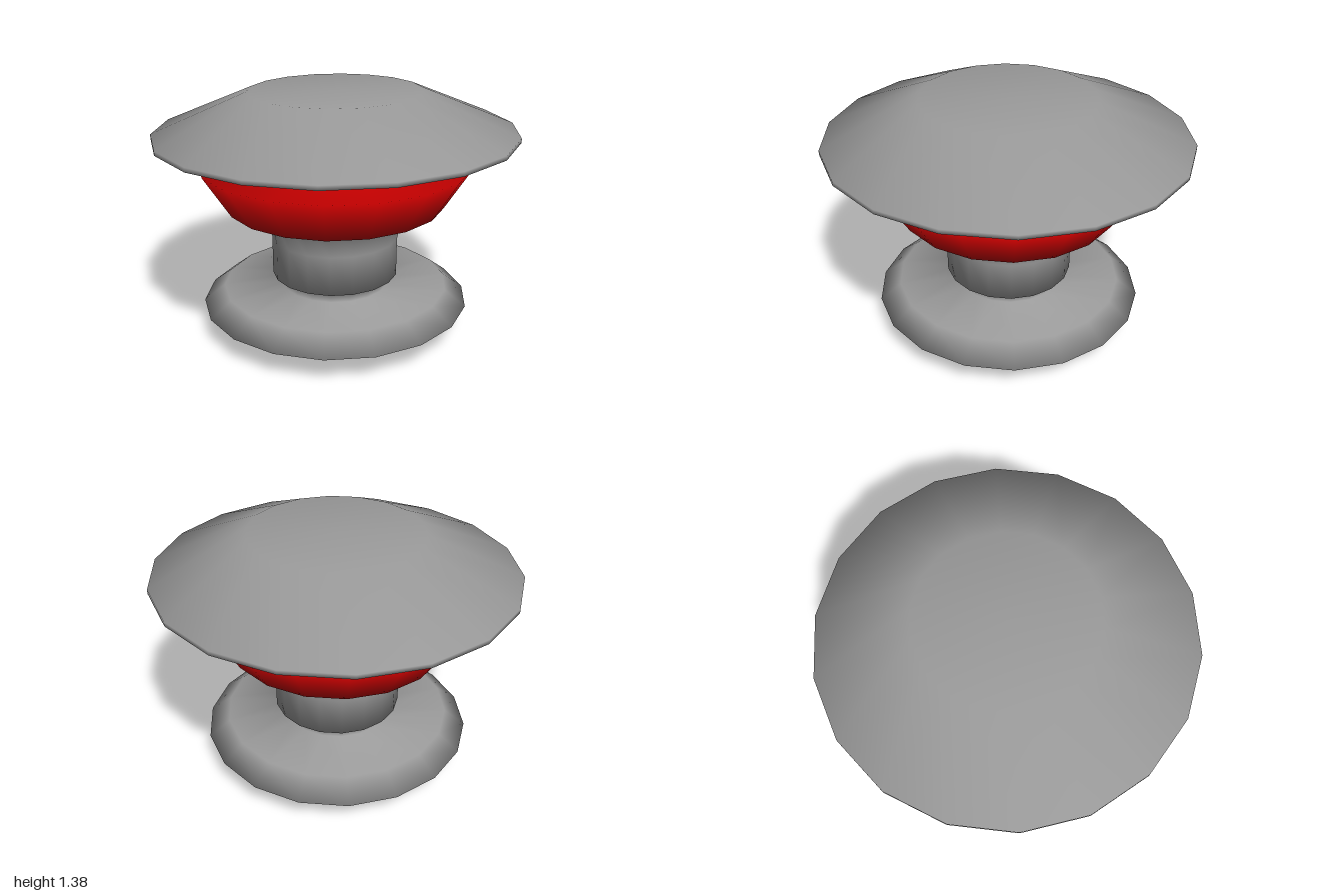
import * as THREE from 'three';

const SIDES = 18;
const LEAN = 0.01; // every ring rises slightly towards +x
const grey = new THREE.MeshStandardMaterial({ color: 0x9a9a9a, side: THREE.DoubleSide });
const red = new THREE.MeshStandardMaterial({ color: 0xbc0000, side: THREE.DoubleSide });

// Profile of the whole thin shell as [radius, height], from the open foot up to the cap
const profile = [
  [0.345, 0.004], [0.385, 0.004], [0.385, 0.04], [0.297, 0.04],    // foot
  [0.297, 0.157], [0.765, 0.157], [0.645, 0.248], [0.307, 0.248],  // neck, flange
  [0.307, 0.315], [0.362, 0.315], [0.362, 0.54], [0.402, 0.742],   // collar, stem
  [0.615, 0.742], [0.765, 0.982], [0.532, 0.982],                  // bowl
  [0.532, 1.058], [0.704, 1.058], [0.704, 1.136],                  // upper collar, disc
  [1, 1.136], [1, 1.16], [0.48, 1.376], [0, 1.376]                 // cap
].map(([r, y]) => new THREE.Vector2(r, y));

// Outward direction of each profile segment, and the even blend of both at each point
const segmentNormals = profile.slice(1).map((p, i) => {
  const d = p.clone().sub(profile[i]).normalize();
  return new THREE.Vector2(d.y, -d.x);
});
const pointNormals = profile.map((p, i) => {
  const before = segmentNormals[Math.max(i - 1, 0)];
  const after = segmentNormals[Math.min(i, segmentNormals.length - 1)];
  return before.clone().add(after).normalize();
});

// Turns the profile points first..last into one part, with shading that flows across parts
function turned(name, material, first, last) {
  const points = profile.slice(first, last + 1);
  const geometry = new THREE.LatheGeometry(points, SIDES, Math.PI / 2);
  const { position, normal } = geometry.attributes;
  for (let v = 0; v < position.count; v++) {
    const n = pointNormals[first + (v % points.length)];
    const angle = Math.PI / 2 + Math.floor(v / points.length) * (2 * Math.PI / SIDES);
    normal.setXYZ(v, n.x * Math.sin(angle), n.y, n.x * Math.cos(angle));
    position.setY(v, position.getY(v) + LEAN * position.getX(v));
  }
  const mesh = new THREE.Mesh(geometry, material);
  mesh.name = name;
  return mesh;
}

export function createModel() {
  const model = new THREE.Group();
  model.name = 'turnedKnob';
  model.add(
    turned('foot', grey, 0, 3),
    turned('neck', grey, 3, 4),
    turned('flange', grey, 4, 7),
    turned('collar', grey, 7, 8),
    turned('stem', grey, 8, 11),
    turned('bowl', red, 11, 14),
    turned('upperCollar', grey, 14, 15),
    turned('disc', red, 15, 17),
    turned('cap', grey, 17, 21)
  );
  return model;
}
